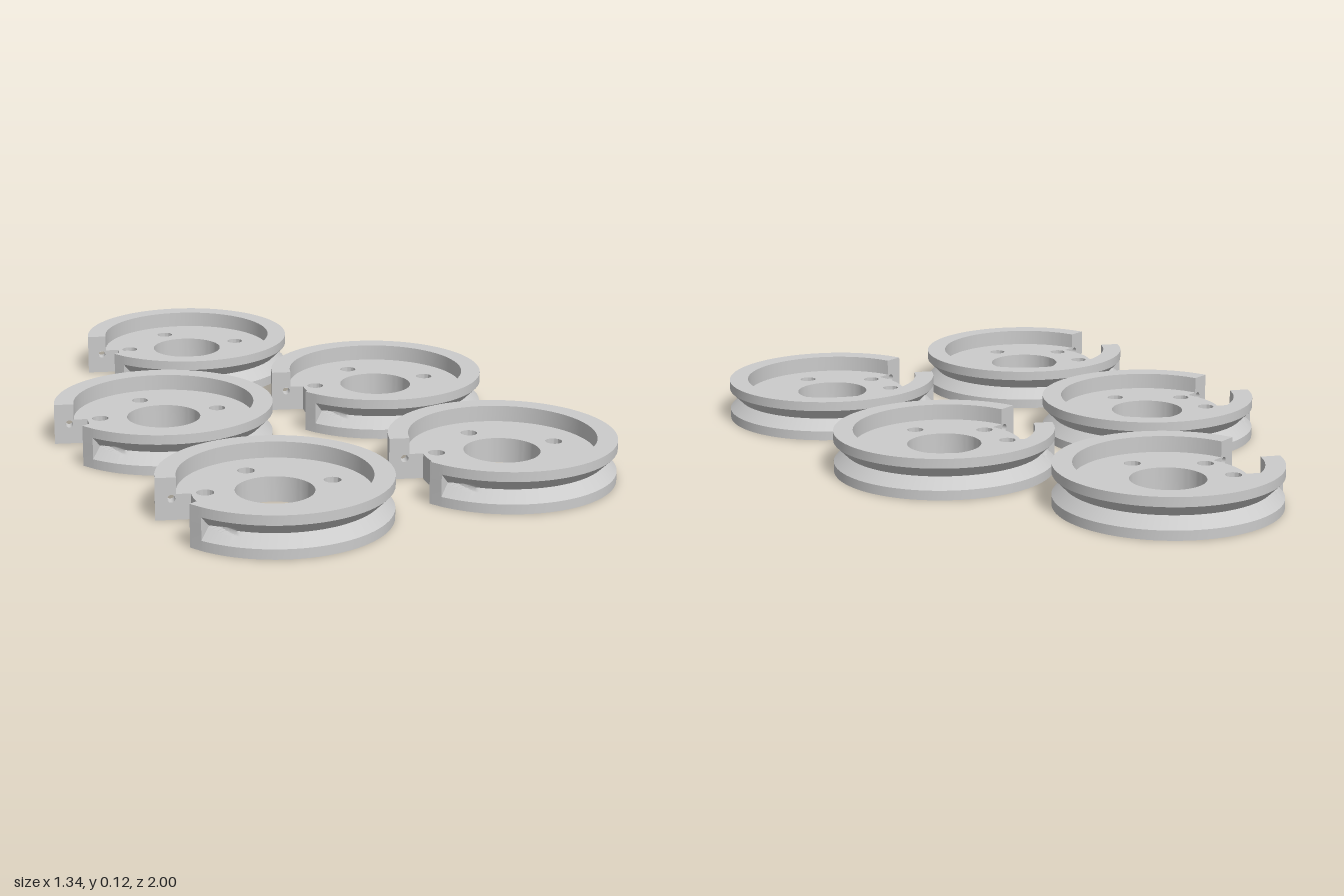
import * as THREE from 'three';
import { toCreasedNormals } from 'three/addons/utils/BufferGeometryUtils.js';

const R = 0.322, RECESS = 0.265, NOTCH = 0.225, APEX = 0.29;  // radii
const H = 0.12, FLOOR = 0.073, GROOVE = 0.032;                // heights, half groove width
const BORE_R = 0.278, BORE = 0.011;                           // cord bore: distance from axis, radius
const deg = THREE.MathUtils.degToRad;
const START = 20, CAP = 27;                                   // notch half angle, groove end (degrees)

// Outer radius of the rim: V groove, opened by the straight cord bores near its ends
function outerRadius(angle, dy, grooved) {
  if (!grooved || Math.abs(dy) >= GROOVE) return R;
  const groove = APEX + (R - APEX) * Math.abs(dy) / GROOVE;
  const a = Math.min(angle, 360 - angle);
  if (a > 60 || Math.abs(dy) >= BORE) return groove;
  const half = Math.sqrt(BORE * BORE - dy * dy), c = Math.cos(deg(a - START));
  return (BORE_R + half) / c >= groove ? Math.min(groove, (BORE_R - half) / c) : groove;
}

// Rim swept round the axis; angles are measured from -x
function rimGeometry() {
  const half = [[START, false], [CAP, false]];
  for (let a = CAP; a < 52; a += 1) half.push([a, true]);
  for (let a = 52; a < 180; a += 4) half.push([a, true]);
  const columns = [...half, [180, true], ...half.map(([a, g]) => [360 - a, g]).reverse()];

  const rows = [-H / 2, -GROOVE];
  for (let i = -6; i <= 6; i++) rows.push(BORE * i / 6);
  rows.push(GROOVE, H / 2);

  const pos = [], index = [], n = rows.length + 3;
  for (const [a, grooved] of columns) {
    const section = [[RECESS, 0], ...rows.map(dy => [outerRadius(a, dy, grooved), dy + H / 2]),
      [RECESS, H], [RECESS, 0]];
    for (const [r, y] of section) pos.push(-r * Math.cos(deg(a)), y, r * Math.sin(deg(a)));
  }
  for (let i = 0; i < columns.length - 1; i++) {
    for (let j = 0; j < n - 1; j++) {
      const p = i * n + j, q = p + n;
      index.push(p, q, q + 1, p, q + 1, p + 1);
    }
  }
  const g = new THREE.BufferGeometry();
  g.setAttribute('position', new THREE.Float32BufferAttribute(pos, 3));
  g.setIndex(index);
  return toCreasedNormals(g, 0.5);
}

// Floor plate with the notch, centre hole and five bolt holes
function plateGeometry() {
  const s = new THREE.Shape(), a = deg(START);
  s.absarc(0, 0, NOTCH, Math.PI - a, Math.PI + a, false);
  s.absarc(0, 0, RECESS, Math.PI + a, 3 * Math.PI - a, false);
  s.closePath();
  const holes = [[0, 0, 0.108], [0.175, 0, 0.024], [0, 0.175, 0.024], [0, -0.175, 0.024],
    [-0.175, 0.066, 0.024], [-0.175, -0.066, 0.024]];
  for (const [x, y, r] of holes) s.holes.push(new THREE.Path().absarc(x, y, r, 0, Math.PI * 2, true));
  const g = new THREE.ExtrudeGeometry(s, { depth: FLOOR, bevelEnabled: false, curveSegments: 40 });
  return toCreasedNormals(g.rotateX(-Math.PI / 2), 0.5);
}

// Flat rim end in (radius, height), pierced by the cord bore
function endGeometry() {
  const s = new THREE.Shape([[RECESS, 0], [R, 0], [R, H], [RECESS, H]].map(p => new THREE.Vector2(...p)));
  s.holes.push(new THREE.Path().absarc(BORE_R, H / 2, BORE, 0, Math.PI * 2, true));
  return new THREE.ShapeGeometry(s, 16);
}

export function createModel() {
  const material = new THREE.MeshStandardMaterial({ color: 0xcccccc });
  const doubleSided = new THREE.MeshStandardMaterial({ color: 0xcccccc, side: THREE.DoubleSide });

  // Places end and bore on the notch face
  const a = deg(START);
  const onNotch = new THREE.Matrix4().makeBasis(
    new THREE.Vector3(-Math.cos(a), 0, Math.sin(a)),
    new THREE.Vector3(0, 1, 0),
    new THREE.Vector3(-Math.sin(a), 0, -Math.cos(a)));
  const rim = rimGeometry(), plate = plateGeometry();
  const end = endGeometry().applyMatrix4(onNotch);
  const depth = BORE_R * Math.tan(deg(CAP - START));
  const bore = new THREE.CylinderGeometry(BORE, BORE, depth, 24, 1, true)
    .rotateX(Math.PI / 2).translate(BORE_R, H / 2, -depth / 2).applyMatrix4(onNotch);

  const part = (name, geometry, mat = material) => {
    const m = new THREE.Mesh(geometry, mat);
    m.name = name;
    return m;
  };

  function pulley() {
    const g = new THREE.Group();
    g.name = 'pulley';
    g.add(part('groovedRim', rim), part('floorPlate', plate));
    // The second end is the first turned over about the x axis
    for (const flip of [false, true]) {
      const e = new THREE.Group();
      e.name = flip ? 'backRimEnd' : 'frontRimEnd';
      e.add(part('endFace', end), part('cordBore', bore, doubleSided));
      if (flip) {
        e.rotation.x = Math.PI;
        e.position.y = H;
      }
      g.add(e);
    }
    return g;
  }

  const model = new THREE.Group();
  model.name = 'pulleySet';
  for (const [x, z] of [[0, -0.678], [-0.369, -0.044], [0.349, -0.044], [-0.369, 0.678], [0.349, 0.678]]) {
    const p = pulley();
    p.position.set(x, 0, z);
    model.add(p);
  }
  return model;
}
